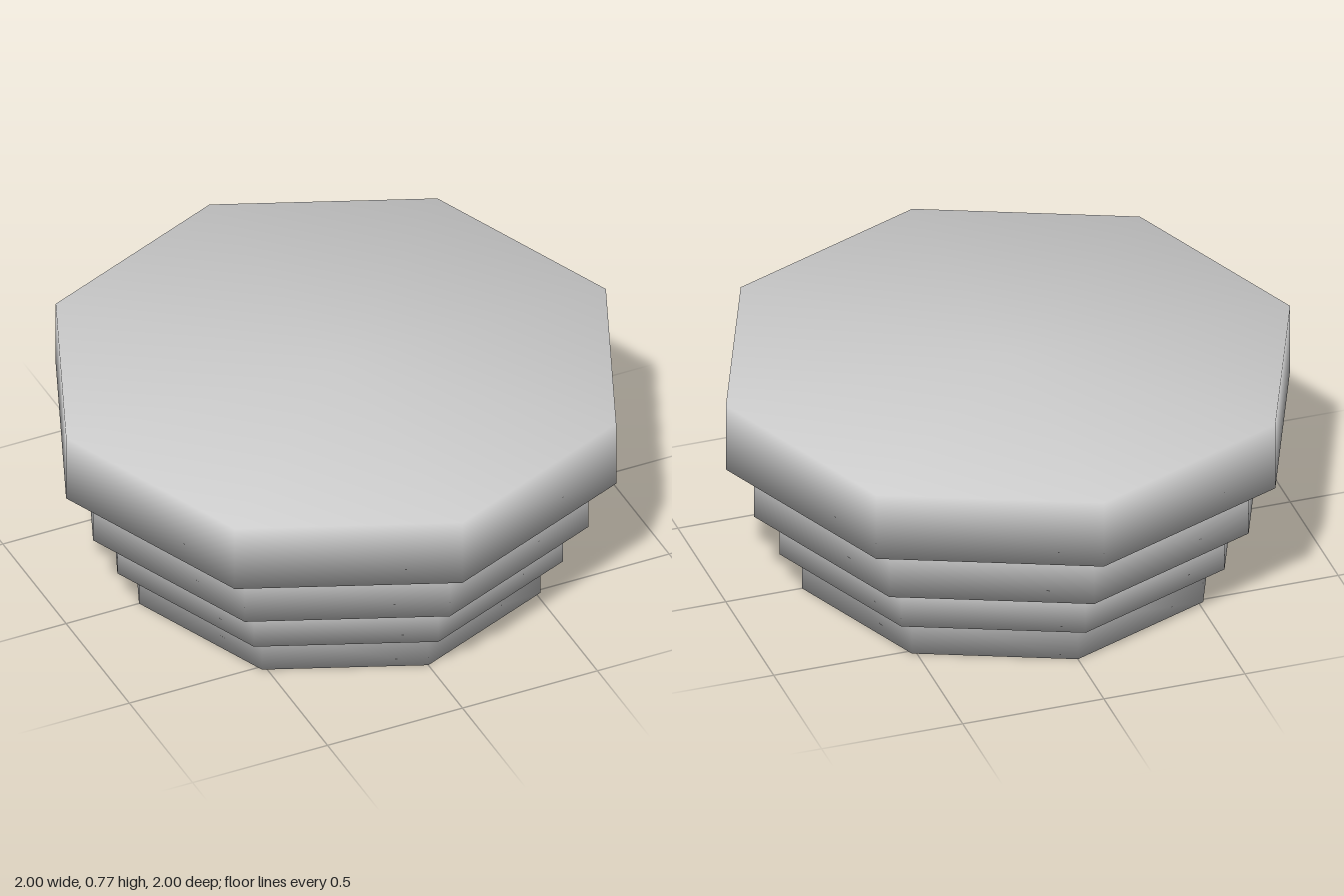
import * as THREE from 'three';
import { mergeVertices } from 'three/addons/utils/BufferGeometryUtils.js';

const SIDES = 8;

// Eight-sided turned solid whose normals are shared across every edge
function turned(profile) {
  const geometry = new THREE.LatheGeometry(profile.map(([r, y]) => new THREE.Vector2(r, y)), SIDES);
  geometry.deleteAttribute('normal');
  geometry.deleteAttribute('uv');
  const merged = mergeVertices(geometry, 1e-4);
  merged.computeVertexNormals();
  return merged;
}

// Solid octagonal slab
const slab = (r, bottom, top) => turned([[0, bottom], [r, bottom], [r, top], [0, top]]);

// Octagonal ring around the socket; the top face is optional
function ring(r, hole, bottom, top, capped) {
  const profile = [[hole, top], [hole, bottom], [r, bottom], [r, top]];
  if (capped) profile.push([hole, top]);
  return turned(profile);
}

export function createModel() {
  const group = new THREE.Group();
  group.name = 'steppedPedestal';
  const stone = new THREE.MeshStandardMaterial({ color: 0xcccccc });
  stone.name = 'pale grey';

  const socket = 0.365;
  const parts = {
    topTier: slab(1, 0.52, 0.77),
    upperTier: slab(0.9, 0.315, 0.52),
    lowerTier: ring(0.81, socket, 0.15, 0.315, true),
    footTier: ring(0.73, socket, 0, 0.15, false),
  };
  for (const [name, geometry] of Object.entries(parts)) {
    const mesh = new THREE.Mesh(geometry, stone);
    mesh.name = name;
    group.add(mesh);
  }
  return group;
}
